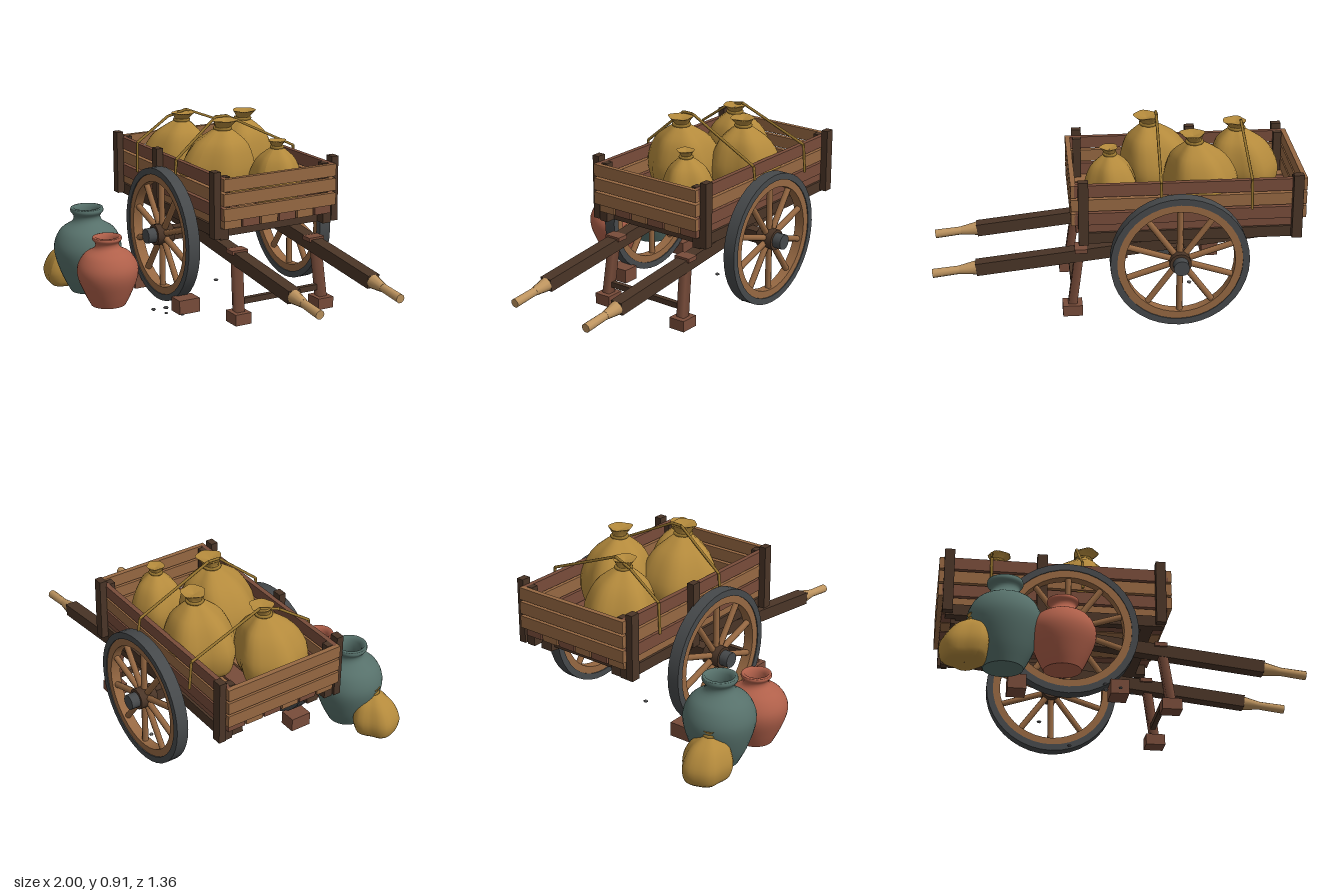
import * as THREE from 'three';

const mat = (name, color) => {
  const m = new THREE.MeshStandardMaterial({ color });
  m.name = name;
  return m;
};

export function createModel() {
  const lightWood = mat('light wood', 0x966842), redWood = mat('red wood', 0x784c3a);
  const darkWood = mat('dark wood', 0x4a3527), paleWood = mat('pale wood', 0xbf9560);
  const iron = mat('iron', 0x46494b), cloth = mat('sackcloth', 0xb48a3c);
  const cord = mat('rope', 0x9a7730), green = mat('green glaze', 0x56706a);
  const clay = mat('terracotta', 0xb0604a), stone = mat('stone', 0x646466);
  const model = new THREE.Group();
  model.name = 'loadedCart';

  const add = (parent, name, geo, m, x = 0, y = 0, z = 0) => {
    const mesh = new THREE.Mesh(geo, m);
    mesh.name = name;
    mesh.position.set(x, y, z);
    parent.add(mesh);
    return mesh;
  };
  const box = (parent, name, m, w, h, d, x, y, z) =>
    add(parent, name, new THREE.BoxGeometry(w, h, d), m, x, y, z);
  // Round or square bar between two points
  const bar = (parent, name, m, a, b, r, sides = 6) => {
    const p = new THREE.Vector3(...a), q = new THREE.Vector3(...b);
    const geo = new THREE.CylinderGeometry(r, r, p.distanceTo(q), sides);
    if (sides === 4) geo.rotateY(Math.PI / 4);
    const mesh = add(parent, name, sides === 4 ? geo.toNonIndexed() : geo, m);
    mesh.position.copy(p).add(q).multiplyScalar(0.5);
    mesh.quaternion.setFromUnitVectors(new THREE.Vector3(0, 1, 0), q.sub(p).normalize());
    return mesh;
  };

  // Cart: local x runs along the shafts, local z across
  const cart = new THREE.Group();
  cart.name = 'cart';
  cart.position.set(-0.175, 0, -0.12);
  cart.rotation.y = -29 * Math.PI / 180;
  model.add(cart);

  // Floor planks and beams beneath
  for (let i = 0; i < 6; i++)
    box(cart, 'floorPlank', i % 2 ? lightWood : redWood, 1.07, 0.04, 0.09, 0, 0.478, (i - 2.5) * 0.1);
  for (const x of [-0.44, 0.05, 0.44]) box(cart, 'crossBeam', darkWood, 0.06, 0.055, 0.58, x, 0.432, 0);
  for (const s of [-1, 1]) box(cart, 'sideSill', darkWood, 1.04, 0.055, 0.045, 0, 0.432, s * 0.285);

  // Plank walls and posts
  for (let i = 0; i < 3; i++) {
    const y = 0.532 + i * 0.071;
    for (const s of [-1, 1]) {
      box(cart, 'sideBoard', i === 1 ? lightWood : redWood, 1.08, 0.06, 0.024, 0, y, s * 0.298);
      box(cart, 'endBoard', lightWood, 0.024, 0.06, 0.62, s * 0.545, y, 0);
    }
  }
  for (const s of [-1, 1])
    for (const x of [-0.51, 0.5]) {
      box(cart, 'cornerPost', darkWood, 0.048, 0.32, 0.036, x, 0.573, s * 0.326);
      box(cart, 'innerPost', darkWood, 0.04, 0.21, 0.03, x, 0.6, s * 0.272);
    }
  box(cart, 'middlePost', darkWood, 0.048, 0.32, 0.036, -0.07, 0.573, 0.326);

  // Shafts with pale grips, and the propping stand
  for (const s of [-1, 1]) {
    const shaft = new THREE.Group();
    shaft.name = 'shaft';
    shaft.position.set(1.22, 0.232, s * 0.215);
    shaft.rotation.z = -0.11;
    cart.add(shaft);
    box(shaft, 'shaftBeam', darkWood, 1.51, 0.062, 0.062, -0.965, 0, 0);
    add(shaft, 'gripCollar', new THREE.CylinderGeometry(0.021, 0.034, 0.08, 10).rotateZ(-Math.PI / 2), paleWood, -0.17);
    add(shaft, 'grip', new THREE.CylinderGeometry(0.022, 0.02, 0.14, 10).rotateZ(-Math.PI / 2), paleWood, -0.07);
    bar(cart, 'standLeg', redWood, [0.555, 0.05, s * 0.232], [0.515, 0.335, s * 0.22], 0.03, 4);
    box(cart, 'standFoot', redWood, 0.095, 0.055, 0.085, 0.555, 0.0275, s * 0.232);
    box(cart, 'standBracket', redWood, 0.06, 0.02, 0.085, 0.51, 0.338, s * 0.215);
  }
  box(cart, 'standCrossbar', darkWood, 0.025, 0.028, 0.45, 0.545, 0.1, 0);

  // Axle and wheels
  const axleX = 0.05, axleY = 0.33;
  box(cart, 'axle', darkWood, 0.06, 0.06, 0.7, axleX, axleY, 0);
  box(cart, 'axleBolster', darkWood, 0.08, 0.06, 0.5, axleX, 0.385, 0);
  const ring = (outer, inner, width) => {
    const w = width / 2;
    const pts = [[inner, -w], [outer, -w], [outer, w], [inner, w], [inner, -w]];
    const flat = [];
    // Doubled corners keep the ring edges crisp
    for (let i = 0; i < 4; i++) {
      const g = new THREE.LatheGeometry([pts[i], pts[i + 1]].map(p => new THREE.Vector2(...p)), 40);
      flat.push(g.rotateX(Math.PI / 2));
    }
    return flat;
  };
  for (const s of [-1, 1]) {
    const wheel = new THREE.Group();
    wheel.name = 'wheel';
    wheel.position.set(axleX, axleY, s * 0.37);
    cart.add(wheel);
    ring(0.33, 0.298, 0.06).forEach(g => add(wheel, 'ironTyre', g, iron));
    ring(0.3, 0.262, 0.05).forEach(g => add(wheel, 'woodenRim', g, lightWood));
    for (let i = 0; i < 10; i++) {
      const a = (i + 0.5) * Math.PI / 5, c = Math.cos(a), n = Math.sin(a);
      bar(wheel, 'spoke', lightWood, [c * 0.04, n * 0.04, 0], [c * 0.27, n * 0.27, 0], 0.0155, 8);
    }
    add(wheel, 'hub', new THREE.CylinderGeometry(0.052, 0.052, 0.09, 14).rotateX(Math.PI / 2), darkWood);
    add(wheel, 'hubCap', new THREE.CylinderGeometry(0.038, 0.038, 0.06, 12).rotateX(Math.PI / 2), iron, 0, 0, s * 0.06);
  }
  for (const s of [-1, 1]) box(cart, 'wheelChock', redWood, 0.085, 0.07, 0.11, axleX + s * 0.235, 0.035, 0.37);

  // Gathered sacks: lobed lathe bodies that lean towards the tied neck
  const sack = (name, x, y, z, r, h, leanX, leanZ, phase) => {
    const g = new THREE.Group();
    g.name = name;
    g.position.set(x, y, z);
    model.add(g);
    const profile = new THREE.SplineCurve([[0.001, 0], [0.75, 0], [0.98, 0.2], [0.98, 0.42], [0.74, 0.68],
      [0.38, 0.83], [0.2, 0.89], [0.24, 0.94], [0.34, 1]].map(p => new THREE.Vector2(p[0] * r, p[1] * h)));
    const pts = profile.getPoints(24);
    pts.forEach(p => { p.x = Math.max(p.x, 0.001); p.y = Math.max(p.y, 0); });
    pts.push(new THREE.Vector2(0.001, h * 0.96));
    const geo = new THREE.LatheGeometry(pts, 30);
    const pos = geo.attributes.position;
    for (let i = 0; i < pos.count; i++) {
      const px = pos.getX(i), py = pos.getY(i), pz = pos.getZ(i);
      const a = Math.atan2(pz, px), t = py / h;
      const k = 1 + 0.06 * Math.cos(5 * a + phase) + 0.05 * Math.cos(3 * a - phase * 2);
      pos.setXYZ(i, px * k + leanX * t * t, py, pz * k + leanZ * t * t);
    }
    geo.computeVertexNormals();
    add(g, 'sackBody', geo, cloth);
    add(g, 'sackTie', new THREE.TorusGeometry(r * 0.22, 0.008, 6, 16).rotateX(Math.PI / 2), cord,
      leanX * 0.79, h * 0.89, leanZ * 0.79);
  };
  sack('rearNearSack', -0.5, 0.498, -0.19, 0.165, 0.355, 0.06, 0.01, 0.4);
  sack('rearFarSack', -0.18, 0.498, -0.275, 0.17, 0.385, 0.05, 0.015, 1.7);
  sack('middleSack', -0.135, 0.498, 0.025, 0.18, 0.395, 0.07, 0.01, 2.9);
  sack('frontSack', 0.175, 0.498, -0.04, 0.125, 0.31, 0.015, 0.01, 4.1);
  sack('groundSack', -0.885, 0, 0.26, 0.112, 0.23, 0.04, 0.02, 5.2);

  // Ropes thrown over the load and tied down outside the walls
  const rope = points => {
    for (let i = 0; i + 1 < points.length; i++) bar(model, 'rope', cord, points[i], points[i + 1], 0.007);
  };
  rope([[-0.6, 0.56, 0.01], [-0.6, 0.712, 0.005], [-0.51, 0.83, -0.14], [-0.45, 0.86, -0.22],
    [-0.27, 0.712, -0.55], [-0.265, 0.57, -0.56]]);
  rope([[-0.23, 0.57, 0.235], [-0.225, 0.712, 0.225], [-0.12, 0.9, 0.03], [-0.09, 0.9, -0.02],
    [0.105, 0.712, -0.345], [0.11, 0.62, -0.355]]);

  // Jars: outer wall, rolled lip and inner throat
  const jar = (name, m, x, z, h, profile) => {
    const g = new THREE.Group();
    g.name = name;
    g.position.set(x, 0, z);
    model.add(g);
    const vec = p => new THREE.Vector2(...p);
    const pts = new THREE.SplineCurve(profile.map(vec)).getPoints(32);
    const [lip] = profile[profile.length - 1];
    pts.push(...[[lip - 0.012, h], [lip - 0.025, h - 0.02], [lip - 0.03, h - 0.07], [lip - 0.01, h - 0.11]].map(vec));
    add(g, 'jarWall', new THREE.LatheGeometry(pts, 32), m);
    add(g, 'jarBase', new THREE.CircleGeometry(profile[0][0], 32).rotateX(Math.PI / 2), m, 0, 0.001);
    add(g, 'jarInside', new THREE.CircleGeometry(lip - 0.01, 24).rotateX(-Math.PI / 2), stone, 0, h - 0.1);
  };
  jar('greenJar', green, -0.71, 0.3, 0.43, [[0.09, 0], [0.13, 0.08], [0.163, 0.18], [0.166, 0.25],
    [0.135, 0.315], [0.078, 0.355], [0.066, 0.385], [0.082, 0.41], [0.08, 0.428]]);
  jar('redJar', clay, -0.49, 0.44, 0.345, [[0.085, 0], [0.115, 0.06], [0.146, 0.14], [0.147, 0.2],
    [0.115, 0.255], [0.067, 0.285], [0.058, 0.31], [0.072, 0.33], [0.07, 0.343]]);

  // Pebbles
  [[-0.2, 0.37, 0.014], [-0.16, 0.43, 0.01], [-0.24, 0.42, 0.012], [-0.08, 0.41, 0.008], [-0.22, -0.13, 0.012],
    [0.08, -0.3, 0.012]].forEach(([x, z, r]) => {
    const p = add(model, 'pebble', new THREE.IcosahedronGeometry(r, 0), stone, x, r * 0.6, z);
    p.scale.y = 0.6;
  });
  return model;
}
